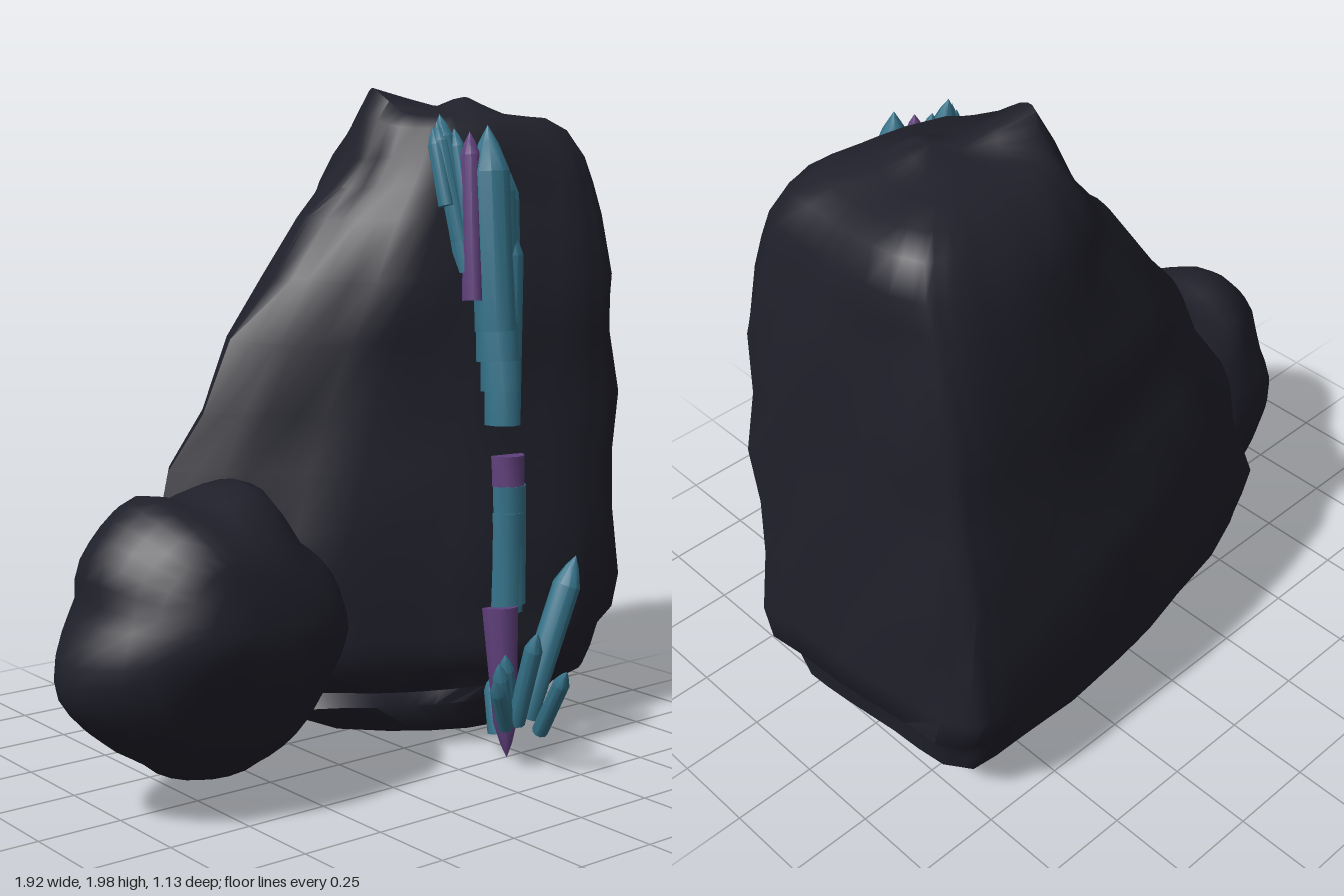
import * as THREE from 'three';
import { toCreasedNormals } from 'three/addons/utils/BufferGeometryUtils.js';

const mat = (name, color) => {
  const m = new THREE.MeshStandardMaterial({ color });
  m.name = name;
  return m;
};

// Smooth repeatable bumps
const bump = (x, y, z) =>
  Math.sin(9 * x + 5 * y + 1) * Math.sin(8 * y - 4 * z) + 0.6 * Math.sin(17 * z + 11 * y + 6 * x);

const mix = THREE.MathUtils.lerp;

function lerpTable(table, t) {
  let i = 0;
  while (i < table.length - 2 && table[i + 1][0] < t) i++;
  const a = table[i], b = table[i + 1], k = (t - a[0]) / (b[0] - a[0]);
  return mix(a[1], b[1], k);
}

// Tall slab: a plan outline, blunter towards the top, fitted to the extents at each height
function slabGeometry() {
  const lowPlan = [[0, .36], [.05, .24], [.19, .1], [.36, .04], [.56, 0], [.84, 0], [.91, .015], [.95, .13], [.98, .55],
    [1, .93], [.95, .98], [.83, 1], [.6, .93], [.43, .8], [.29, .71], [.12, .52]];
  const topPlan = [[0, .48], [.02, .32], [.11, .16], [.3, .05], [.56, 0], [.82, .01], [.92, .06], [.97, .2], [1, .55],
    [.98, .85], [.93, .95], [.8, 1], [.6, .96], [.38, .93], [.18, .87], [.04, .7]];
  // height, left, right, back, front
  const levels = [[.045, .24, .62, -.13, .07], [.08, .06, .69, -.2, .12], [.16, -.13, .73, -.3, .16],
    [.2, -.2, .87, -.47, .19], [.27, -.36, .885, -.5, .23], [.34, -.48, .9, -.52, .24], [.38, -.51, .95, -.53, .24],
    [.48, -.53, .95, -.56, .25], [.7, -.46, .945, -.54, .25], [.88, -.39, .935, -.555, .24], [1.05, -.31, .93, -.52, .23],
    [1.25, -.2, .925, -.52, .24], [1.43, -.09, .92, -.53, .26], [1.6, .04, .905, -.49, .21], [1.7, .12, .895, -.48, .19],
    [1.78, .18, .885, -.46, .17], [1.86, .225, .84, -.42, .13], [1.895, .27, .78, -.36, .08], [1.905, .38, .68, -.28, 0],
    [1.905, .47, .6, -.2, -.07]];
  const per = 3, n = lowPlan.length * per, pos = [], idx = [];
  const planAt = (i, t, axis) => {
    const s = Math.floor(i / per), e = (s + 1) % lowPlan.length, k = (i % per) / per;
    return mix(mix(lowPlan[s][axis], lowPlan[e][axis], k), mix(topPlan[s][axis], topPlan[e][axis], k), t);
  };
  for (const [y, x0, x1, zb, zf] of levels) {
    const t = THREE.MathUtils.clamp((y - 1.1) / .75, 0, 1);
    for (let i = 0; i < n; i++) {
      const x = mix(x0, x1, planAt(i, t, 0)), z = mix(zb, zf, planAt(i, t, 1));
      const d = 0.01 * bump(x, y, z);
      let h = y;
      if (y > 1.8) { // small summits
        h += 0.1 * Math.exp(-((x - .31) ** 2 + (z + .19) ** 2) / .007);
        h += 0.06 * Math.exp(-((x - .55) ** 2 + (z + .1) ** 2) / .006);
      }
      pos.push(x + d * Math.sign(x - .35), h + d * .8, z + d * Math.sign(z + .15));
    }
  }
  for (let j = 0; j < levels.length - 1; j++)
    for (let i = 0; i < n; i++) {
      const a = j * n + i, b = j * n + (i + 1) % n;
      idx.push(a, a + n, b, b, a + n, b + n);
    }
  const bottom = pos.length / 3, top = bottom + 1, last = (levels.length - 1) * n;
  pos.push(.42, .04, -.03, .53, 1.95, -.12);
  for (let i = 0; i < n; i++) {
    idx.push(i, (i + 1) % n, bottom);
    idx.push(last + i, top, last + (i + 1) % n);
  }
  const g = new THREE.BufferGeometry();
  g.setAttribute('position', new THREE.Float32BufferAttribute(pos, 3));
  g.setIndex(idx);
  return toCreasedNormals(g, 0.95);
}

// Boulder: sphere pushed out to a front silhouette, calmer towards its front and back
function boulderGeometry() {
  const cx = -.52, cy = .49, cz = .055;
  const edge = [[-.075, .5], [-.12, .63], [-.27, .75], [-.37, .915], [-.57, .87], [-.71, .9], [-.875, .73], [-.87, .62],
    [-.95, .51], [-.96, .4], [-.84, .26], [-.72, .18], [-.66, .13], [-.42, .085], [-.18, .25], [-.09, .45]];
  const turn = Math.PI * 2;
  const polar = edge.map(([x, y]) => [(Math.atan2(y - cy, x - cx) + turn) % turn, Math.hypot(x - cx, y - cy)])
    .sort((a, b) => a[0] - b[0]);
  const table = [[polar.at(-1)[0] - turn, polar.at(-1)[1]], ...polar, [polar[0][0] + turn, polar[0][1]]];
  const g = new THREE.SphereGeometry(1, 48, 16).rotateX(Math.PI / 2);
  const p = g.attributes.position;
  for (let i = 0; i < p.count; i++) {
    const x = p.getX(i), y = p.getY(i), z = p.getZ(i), q = Math.hypot(x, y);
    const a = (Math.round(Math.atan2(y, x) * 1e5) / 1e5 + turn) % turn;
    const r = mix(.41, lerpTable(table, a), q ** 4) * q ** .9;
    const d = .018 * bump(x * .5, y * .5, z * .5) * (1 - q ** 6);
    // the back tapers towards the outer end, the front towards the foot
    const taper = z < 0 ? 1 - .3 * Math.max(-x, 0) : 1 - .12 * Math.max(-y, 0);
    const lift = .08 * Math.max(z, 0) * (1 - q) + .05 * Math.max(z, 0) * Math.max(-y, 0);
    p.setXYZ(i, cx + Math.cos(a) * r, cy + Math.sin(a) * r + lift, cz + z * .315 * taper + d);
  }
  return toCreasedNormals(g, 0.75);
}

// Crystal from base to tip: prism with a pointed or flat end
function crystal(name, material, from, to, r, tip = r * 2.2, baseR = r) {
  const a = new THREE.Vector3(...from), b = new THREE.Vector3(...to), len = a.distanceTo(b);
  const pts = [[0, 0], [baseR, 0], [r, len - tip], [0, len]].map(([x, y]) => new THREE.Vector2(x, y));
  if (tip) pts.splice(3, 0, new THREE.Vector2(r * .5, len - tip * .4));
  const m = new THREE.Mesh(toCreasedNormals(new THREE.LatheGeometry(pts, 10), 0.7), material);
  m.name = name;
  m.position.copy(a);
  m.quaternion.setFromUnitVectors(new THREE.Vector3(0, 1, 0), b.sub(a).normalize());
  return m;
}

export function createModel() {
  const rock = mat('dark rock', 0x20202b);
  const teal = mat('teal crystal', 0x35738a);
  const purple = mat('purple crystal', 0x60407c);
  const model = new THREE.Group();
  model.name = 'crystalRock';

  const slab = new THREE.Mesh(slabGeometry(), rock);
  slab.name = 'tallRock';
  const boulder = new THREE.Mesh(boulderGeometry(), rock);
  boulder.name = 'boulder';
  model.add(slab, boulder);

  // Crystals sprouting at the foot
  const foot = new THREE.Group();
  foot.name = 'footCrystals';
  [
    [[.48, .13, .28], [.63, .61, .335], .042],
    [[.42, .13, .41], [.37, .35, .565], .024],
    [[.40, .14, .33], [.365, .44, .45], .027],
    [[.35, .14, .34], [.24, .31, .41], .024],
    [[.37, .14, .32], [.30, .34, .36], .024],
    [[.40, .13, .30], [.335, .36, .35], .024],
    [[.46, .06, .19], [.47, .26, .15], .033]
  ].forEach(([a, b, r]) => foot.add(crystal('footCrystal', teal, a, b, r)));
  foot.add(crystal('rootSpike', purple, [.437, .46, .215], [.435, .005, .255], .037, .11, .056));

  // Vein climbing the face
  const vein = new THREE.Group();
  vein.name = 'crystalVein';
  vein.add(crystal('lowerVein', teal, [.47, .44, .195], [.475, .74, .195], .057, 0));
  vein.add(crystal('middleVein', teal, [.485, .46, .19], [.48, .82, .19], .059, 0));
  vein.add(crystal('purpleVein', purple, [.475, .82, .19], [.475, .91, .19], .057, 0));

  // Overlapping pointed crystals near the summit
  [
    [[.462, 1.0, .185], [.475, 1.62, .175], .056],
    [[.455, 1.1, .185], [.475, 1.79, .14], .062],
    [[.435, 1.19, .19], [.45, 1.82, .145], .064],
    [[.42, 1.28, .195], [.41, 1.87, .165], .06],
    [[.475, 1.2, .185], [.505, 1.77, .13], .046],
    [[.495, 1.33, .18], [.525, 1.74, .125], .032],
    [[.34, 1.45, .155], [.305, 1.9, .075], .03],
    [[.325, 1.54, .145], [.29, 1.88, .08], .026],
    [[.285, 1.64, .13], [.28, 1.86, .075], .022],
    [[.35, 1.5, .17], [.335, 1.86, .105], .024]
  ].forEach(([a, b, r]) => vein.add(crystal('summitCrystal', teal, a, b, r)));
  vein.add(crystal('summitPurpleCrystal', purple, [.345, 1.37, .18], [.36, 1.85, .145], .03));

  model.add(foot, vein);
  return model;
}
